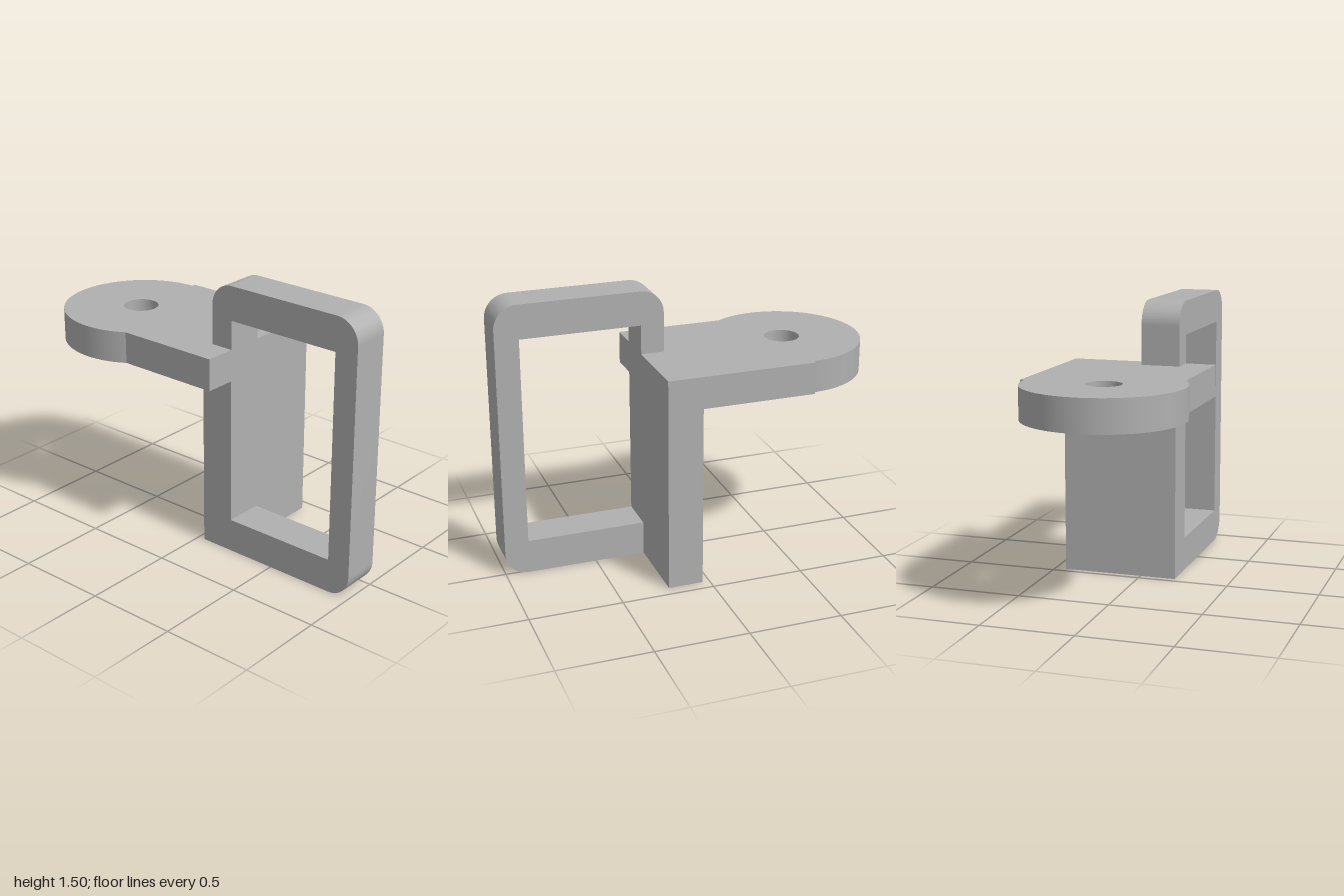
import * as THREE from 'three';
import { toCreasedNormals } from 'three/addons/utils/BufferGeometryUtils.js';

const grey = new THREE.MeshStandardMaterial({ color: 0xb0b0b0 });
grey.name = 'grey';

function addPart(group, name, geometry) {
  const mesh = new THREE.Mesh(geometry, grey);
  mesh.name = name;
  group.add(mesh);
  return mesh;
}

// Extrudes a shape with sharp edges and smooth curves
function extrude(shape, depth) {
  const geometry = new THREE.ExtrudeGeometry(shape, { depth, bevelEnabled: false, curveSegments: 48 });
  return toCreasedNormals(geometry, 0.5);
}

export function createModel() {
  const group = new THREE.Group();
  group.name = 'bracket';
  const inner = 0.227, back = -0.437, front = 0.197;
  const plateTop = 1.163, plateBottom = 0.99;

  // Upright plate
  const width = inner - 0.038;
  const upright = addPart(group, 'uprightPlate', new THREE.BoxGeometry(width, plateBottom, front - back));
  upright.position.set(inner - width / 2, plateBottom / 2, (front + back) / 2);

  // Horizontal plate with a round, drilled end (shape y becomes z)
  const cx = -0.578, cz = 0.008, r = 0.422, edge = 0.365;
  const plate = new THREE.Shape();
  plate.moveTo(inner, back);
  plate.lineTo(cx, back);
  plate.lineTo(cx, cz - r);
  plate.absarc(cx, cz, r, -Math.PI / 2, Math.asin((edge - cz) / r) - Math.PI * 2, true);
  plate.lineTo(inner, edge);
  plate.closePath();
  plate.holes.push(new THREE.Path().absarc(cx, cz, 0.094, 0, Math.PI * 2, false));
  const plateGeometry = extrude(plate, plateTop - plateBottom);
  plateGeometry.rotateX(Math.PI / 2);
  plateGeometry.translate(0, plateTop, 0);
  addPart(group, 'drilledPlate', plateGeometry);

  // Rounded frame, closed on one side by the plates
  const right = 1, top = 1.504, left = 0.102, c = 0.125;
  const frame = new THREE.Shape();
  frame.moveTo(inner, 0);
  frame.lineTo(right - c, 0);
  frame.absarc(right - c, c, c, -Math.PI / 2, 0, false);
  frame.lineTo(right, top - c);
  frame.absarc(right - c, top - c, c, 0, Math.PI / 2, false);
  frame.lineTo(left + c, top);
  frame.absarc(left + c, top - c, c, Math.PI / 2, Math.PI, false);
  frame.lineTo(left, plateTop);
  frame.lineTo(inner, plateTop);
  frame.lineTo(inner, 1.32);
  frame.lineTo(0.872, 1.32);
  frame.lineTo(0.872, 0.185);
  frame.lineTo(inner, 0.185);
  frame.closePath();
  const frameBack = -0.015;
  const loop = addPart(group, 'loopFrame', extrude(frame, front - frameBack));
  loop.position.z = frameBack;

  return group;
}
